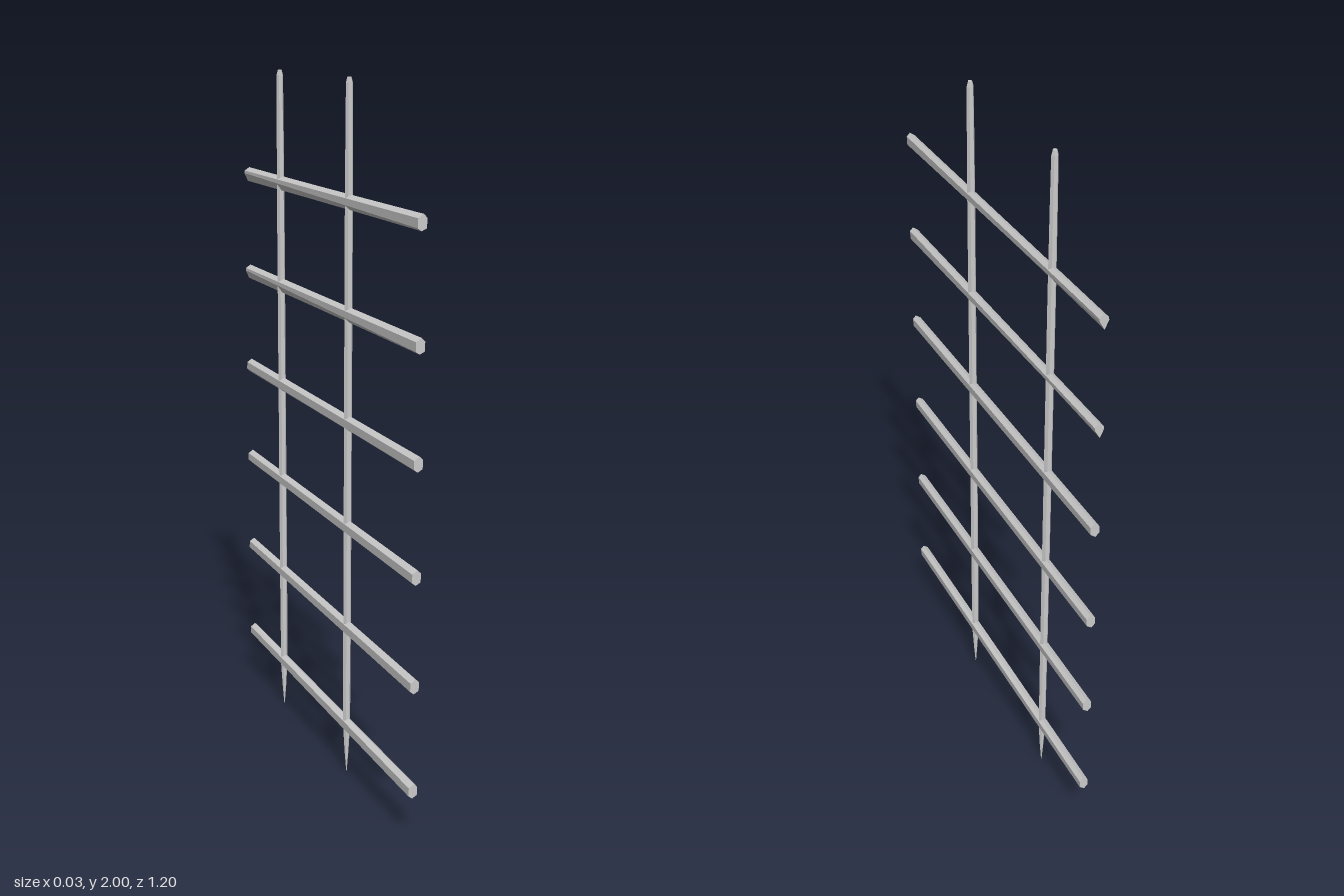
import * as THREE from 'three';

const material = new THREE.MeshStandardMaterial({ color: 0xcccccc, flatShading: true });

// Capped loft through equal-length rings of Vector3, counter-clockwise about the loft direction
function loft(rings) {
  const pos = [];
  const tri = (...pts) => pts.forEach((p) => pos.push(p.x, p.y, p.z));
  const n = rings[0].length;
  for (let i = 0; i < rings.length - 1; i++) {
    for (let j = 0; j < n; j++) {
      const k = (j + 1) % n;
      const [a, b, c, d] = [rings[i][j], rings[i][k], rings[i + 1][k], rings[i + 1][j]];
      tri(a, b, c);
      tri(a, c, d);
    }
  }
  const first = rings[0], last = rings[rings.length - 1];
  for (let j = 1; j < n - 1; j++) {
    tri(first[0], first[j + 1], first[j]);
    tri(last[0], last[j], last[j + 1]);
  }
  const geo = new THREE.BufferGeometry();
  geo.setAttribute('position', new THREE.Float32BufferAttribute(pos, 3));
  geo.computeVertexNormals();
  return geo;
}

// Hand-cut stake: sharpened foot, even shaft, slightly tapered head
function postGeometry() {
  const stations = [ // y, half width in x, half depth in z
    [0, 0.001, 0.001], [0.06, 0.006, 0.004], [0.14, 0.011, 0.007], [0.42, 0.012, 0.009],
    [1.0, 0.012, 0.009], [1.62, 0.012, 0.009], [1.85, 0.011, 0.008], [1.985, 0.01, 0.007], [2, 0.006, 0.006],
  ];
  return loft(stations.map(([y, rx, rz]) =>
    [0, 1, 2, 3, 4, 5].map((i) => {
      const a = (i + 0.5) * Math.PI / 3;
      return new THREE.Vector3(rx * Math.sin(a), y, rz * Math.cos(a) / 0.866);
    })));
}

// Rough six-sided rail along z whose side ridges drift up or down by skew
function railGeometry(skew, waist) {
  return loft([-0.6, -0.33, -0.1, 0.165, 0.4, 0.6].map((z) => {
    const s = skew * (0.5 - z);
    const h = 0.021 - waist * Math.cos(z * Math.PI / 1.2);
    return [
      [0.003, h], [-0.012, 0.011], [-0.013, -0.012 + s],
      [-0.002, -h], [0.012, -0.013 + s], [0.013, 0.011],
    ].map(([x, y]) => new THREE.Vector3(x, y, z));
  }));
}

export function createModel() {
  const group = new THREE.Group();
  const add = (name, geo, y, z) => {
    const mesh = new THREE.Mesh(geo, material);
    mesh.name = name;
    mesh.position.set(0, y, z);
    group.add(mesh);
  };

  // Two upright stakes
  const post = postGeometry();
  add('frontPost', post, 0, 0.165);
  add('backPost', post, 0, -0.328);

  // Six crossing rails, the upper two more strongly twisted
  for (let i = 0; i < 6; i++) {
    const skew = i > 3 ? 0.014 : 0.002;
    add(`rail${i + 1}`, railGeometry(skew, i === 0 ? 0.003 : 0.001), 0.152 + i * 0.3045, 0);
  }
  return group;
}
